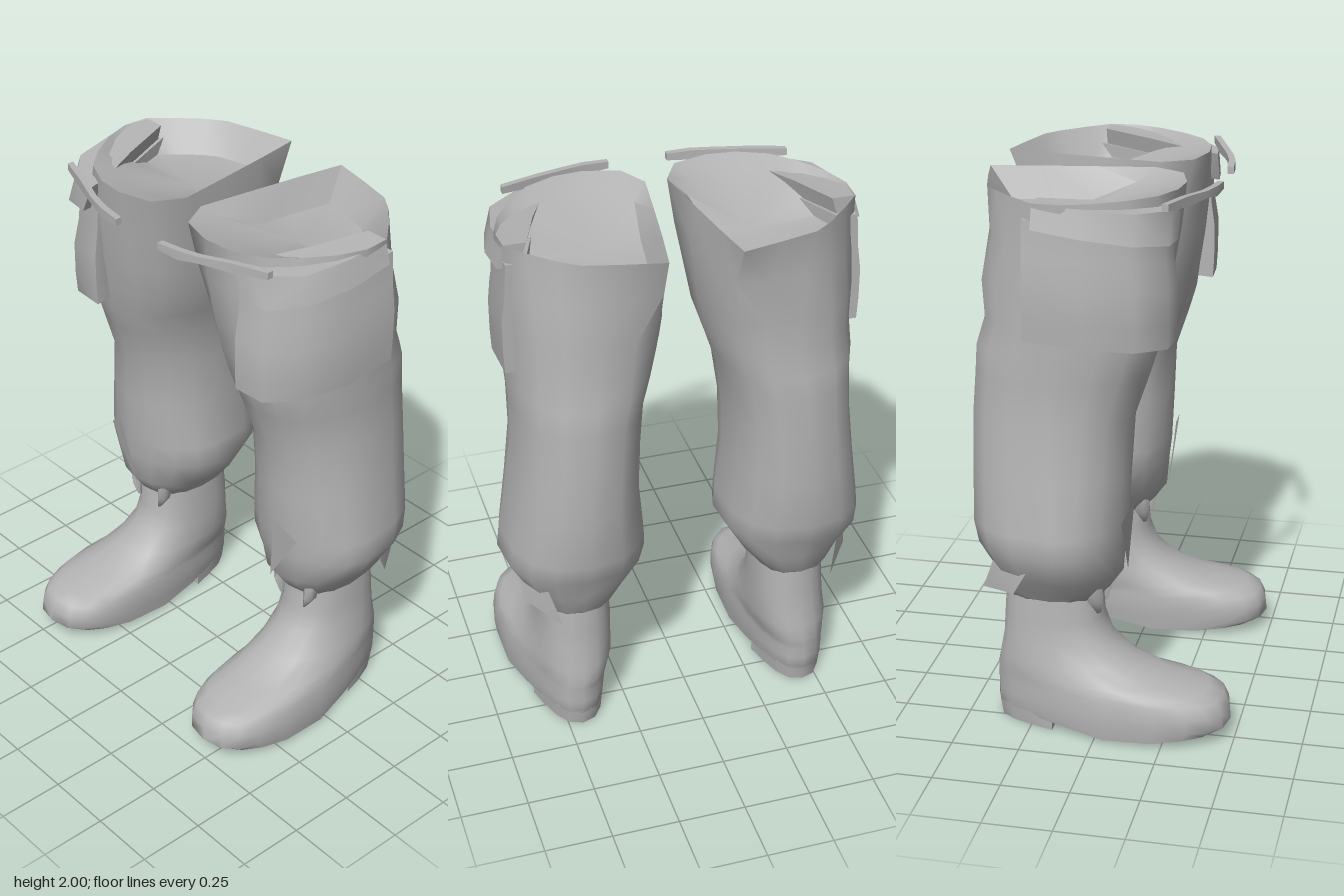
import * as THREE from 'three';
import { toCreasedNormals } from 'three/addons/utils/BufferGeometryUtils.js';

const V = (x, y, z) => new THREE.Vector3(x, y, z);
const clamp = THREE.MathUtils.clamp;

function indexed(pts, index) {
  const g = new THREE.BufferGeometry().setFromPoints(pts);
  g.setIndex(index);
  return g;
}

// Skin a stack of closed rings (bottom to top, counter-clockwise from above);
// lowTip and topTip close the ends with fans.
function loft(rings, lowTip, topTip) {
  const n = rings[0].length, pts = rings.flat(), index = [];
  for (let r = 0; r < rings.length - 1; r++)
    for (let i = 0; i < n; i++) {
      const a = r * n + i, b = r * n + (i + 1) % n;
      index.push(a, b, b + n, a, b + n, a + n);
    }
  const last = (rings.length - 1) * n;
  if (lowTip) {
    pts.push(lowTip);
    for (let i = 0; i < n; i++) index.push(pts.length - 1, (i + 1) % n, i);
  }
  if (topTip) {
    pts.push(topTip);
    for (let i = 0; i < n; i++) index.push(pts.length - 1, last + i, last + (i + 1) % n);
  }
  return indexed(pts, index);
}

// Rounded-box ring fitted to x and z limits; zm is where it is widest,
// and the front half may be rounder than the back
function ring(y, x0, x1, z0, z1, n = 16, power = 0.8, frontPower = power, zm = (z0 + z1) / 2) {
  const soft = (v, e) => Math.sign(v) * Math.abs(v) ** e;
  return Array.from({ length: n }, (_, i) => {
    const t = (i / n) * Math.PI * 2, front = Math.cos(t) > 0, e = front ? frontPower : power;
    return V((x0 + x1) / 2 + (x1 - x0) / 2 * soft(Math.sin(t), e), y,
      zm + (front ? z1 - zm : zm - z0) * soft(Math.cos(t), e));
  });
}

// Waist outline with the pointed corner at the back of the crotch
const waist = [[.34, .245], [.45, .195], [.53, .11], [.6, 0], [.635, -.1], [.63, -.2], [.56, -.28], [.48, -.36],
  [.41, -.41], [.27, -.445], [.13, -.475], [.1, -.3], [.07, -.1], [.04, .11], [.1, .22], [.23, .255]]
  .map(([x, z]) => V(x, 2, z));

function trousers() {
  // y, x limits, z limits, share of waist outline, roundness of the front, widest z
  const levels = [
    [.50, .30, .55, -.35, -.01, 0, .9, -.18], [.53, .28, .57, -.38, .02, 0, .9, -.18],
    [.60, .22, .62, -.39, .07, 0, 1, -.16], [.72, .15, .69, -.455, .08, 0, 1.05, -.13],
    [.80, .155, .68, -.475, .09, 0, 1.05, -.13], [1.0, .175, .65, -.475, .10, 0, 1, -.14],
    [1.2, .17, .625, -.475, .11, 0, .95, -.15], [1.35, .155, .62, -.465, .16, 0, .9, -.14],
    [1.45, .125, .625, -.46, .19, 0, .85, -.13], [1.55, .10, .62, -.435, .20, .1, .8, -.12],
    [1.68, .08, .62, -.455, .22, .2, .8, -.12], [1.84, .06, .62, -.42, .24, .5, .8, -.1]];
  const rings = levels.map(([y, x0, x1, z0, z1, w, front, zm]) =>
    ring(y, x0, x1, z0, z1, 16, .8, front, zm).map((p, i) => p.lerp(V(waist[i].x, y, waist[i].z), w)));
  return loft([...rings, waist], V(.425, .52, -.18));
}

// Lid inside the waist: steep along the back and crotch, gentle from the front rim
function waistLid() {
  const dip = V(.27, 1.88, -.12);
  const inner = waist.map((p) => {
    const back = clamp((.15 - p.z) / .25, 0, 1);
    return p.clone().lerp(dip, .25).setY(1.97 - .08 * back);
  });
  return loft([waist, inner], null, dip);
}

// Boot outline, drawn in towards the heel
const bootRing = (y, x0, x1, z0, z1, narrow, power) =>
  ring(y, x0, x1, z0, z1, 20, .85, power).map((p) => {
    const back = clamp((.1 - p.z) / .38, 0, 1), mid = (x0 + x1) / 2;
    p.x = mid + (p.x - mid) * (1 - narrow * back) - narrow * back * .08;
    return p;
  });

function boot() {
  // y, x limits, z limits, heel narrowing, front squareness
  const levels = [
    [.02, .28, .65, -.385, .455, .25, .72], [.06, .275, .655, -.40, .48, .25, .72],
    [.11, .272, .652, -.40, .475, .22, .72], [.155, .275, .645, -.40, .455, .2, .74],
    [.178, .278, .637, -.40, .40, .18, .76], [.20, .278, .625, -.40, .26, .15, .8],
    [.26, .28, .595, -.39, .12, .05, .85], [.34, .288, .567, -.375, .03, 0, .85],
    [.42, .29, .56, -.37, .0, 0, .85], [.57, .30, .55, -.36, -.01, 0, .85]];
  const rings = levels.map((level) => bootRing(...level));
  // Sole touches down at the ball, rises to the toe and to the heel arch
  for (const p of rings[0]) p.y = .01 + .035 * clamp((p.z - .15) / .3, 0, 1) + .03 * clamp(-p.z / .17, 0, 1);
  return loft(rings, V(.455, .012, .08));
}

// Heel block: the back of the boot outline cut off square at the arch
function heel() {
  const block = [[0, .285, .645, -.39], [.065, .278, .652, -.4]].map(([y, x0, x1, z0]) =>
    bootRing(y, x0, x1, z0, .44, .25, .72).map((p) => {
      if (p.z > -.165) p.set(clamp(p.x, .31, .585), y, -.165);
      return p;
    }));
  return loft(block, V(.44, 0, -.26), V(.44, .065, -.26));
}

// Cargo pocket wrapping the outer front of the thigh, hollowed under its flap
function pocket() {
  const plan = [[.38, .242], [.5, .235], [.595, .135], [.64, -.03], [.638, -.235], [.56, -.235], [.48, 0], [.38, .16]];
  const rows = [[1.48, .008], [1.56, .012], [1.68, .012], [1.78, -.002], [1.9, -.01]];
  const rings = rows.map(([y, out]) => plan.map(([x, z], i) =>
    V(x + (i > 0 && i < 5 ? out : 0), y + (.235 - z) * .09, z + (i < 3 ? out : 0))));
  return loft(rings, V(.53, 1.5, .06), V(.53, 1.91, .06));
}

function pocketFlap() {
  const plan = [[.43, .262], [.53, .25], [.62, .14], [.655, -.03], [.65, -.2], [.57, -.2], [.5, 0], [.42, .18]];
  const low = plan.map(([x, z]) => V(x, 1.85 + (.255 - z) * .14, z));
  const high = plan.map(([x, z]) => V(x - (z > .2 ? .05 : .025), 1.96 + (.262 - z) * .085, z));
  return loft([low, high], V(.55, 1.88, .05), V(.53, 1.975, .05));
}

// Flat strap hanging in front of the waist
function strap() {
  const path = [[.11, 1.965, .353], [.2, 1.965, .345], [.28, 1.972, .325], [.4, 1.975, .28], [.53, 1.982, .235]];
  const rings = path.map(([x, y, z], i) => {
    const h = i % 2 ? .018 : .013;
    return [V(x, y - h, z + .012), V(x, y - h, z - .012), V(x, y + h, z - .012), V(x, y + h, z + .012)];
  });
  return loft(rings, V(...path[0]), V(...path[4]));
}

// Thin cloth fold: a fan of triangles around its first corner
const fold = (...corners) => indexed(corners.map((c) => V(...c)),
  corners.slice(2).flatMap((_, i) => [0, i + 1, i + 2]));

export function createModel() {
  const model = new THREE.Group();
  const grey = new THREE.MeshStandardMaterial({ color: 0xb4b4b4, side: THREE.DoubleSide });
  grey.name = 'plain grey';
  const legs = { left: new THREE.Group(), right: new THREE.Group() };
  for (const [side, leg] of Object.entries(legs)) {
    leg.name = side + 'Leg';
    model.add(leg);
  }

  // Adds a part to the left leg and its mirror image to the right leg
  function add(name, source, crease = 1.1) {
    for (const [side, leg] of Object.entries(legs)) {
      const g = source.clone();
      if (side === 'right') {
        g.scale(-1, 1, 1);
        g.setIndex([...g.index.array].reverse());
      }
      const mesh = new THREE.Mesh(toCreasedNormals(g, crease), grey);
      mesh.name = name;
      leg.add(mesh);
    }
  }

  add('trouserLeg', trousers());
  add('waistLid', waistLid(), .7);
  add('boot', boot());
  add('bootHeel', heel(), .9);
  add('pocket', pocket(), .8);
  add('pocketFlap', pocketFlap(), .8);
  add('waistStrap', strap(), .8);
  add('shinFold', fold([.44, .89, .115], [.39, .59, .08], [.53, .82, .085]));
  add('hemFold', fold([.56, .66, -.38], [.64, .65, -.24], [.625, .56, -.29], [.52, .53, -.43]));

  // Small cloth tips hanging over the boot front
  for (const [x, tilt] of [[.345, .3], [.505, -.3]]) {
    const tip = loft([ring(.45, x + tilt * .06 - .006, x + tilt * .06 + .006, -.02, .0, 6, 1),
      ring(.5, x - .022, x + .022, -.05, .012, 6, 1), ring(.56, x - .028, x + .028, -.05, .01, 6, 1)],
    V(x + tilt * .08, .44, -.015));
    add('hemTip', tip);
  }
  return model;
}
